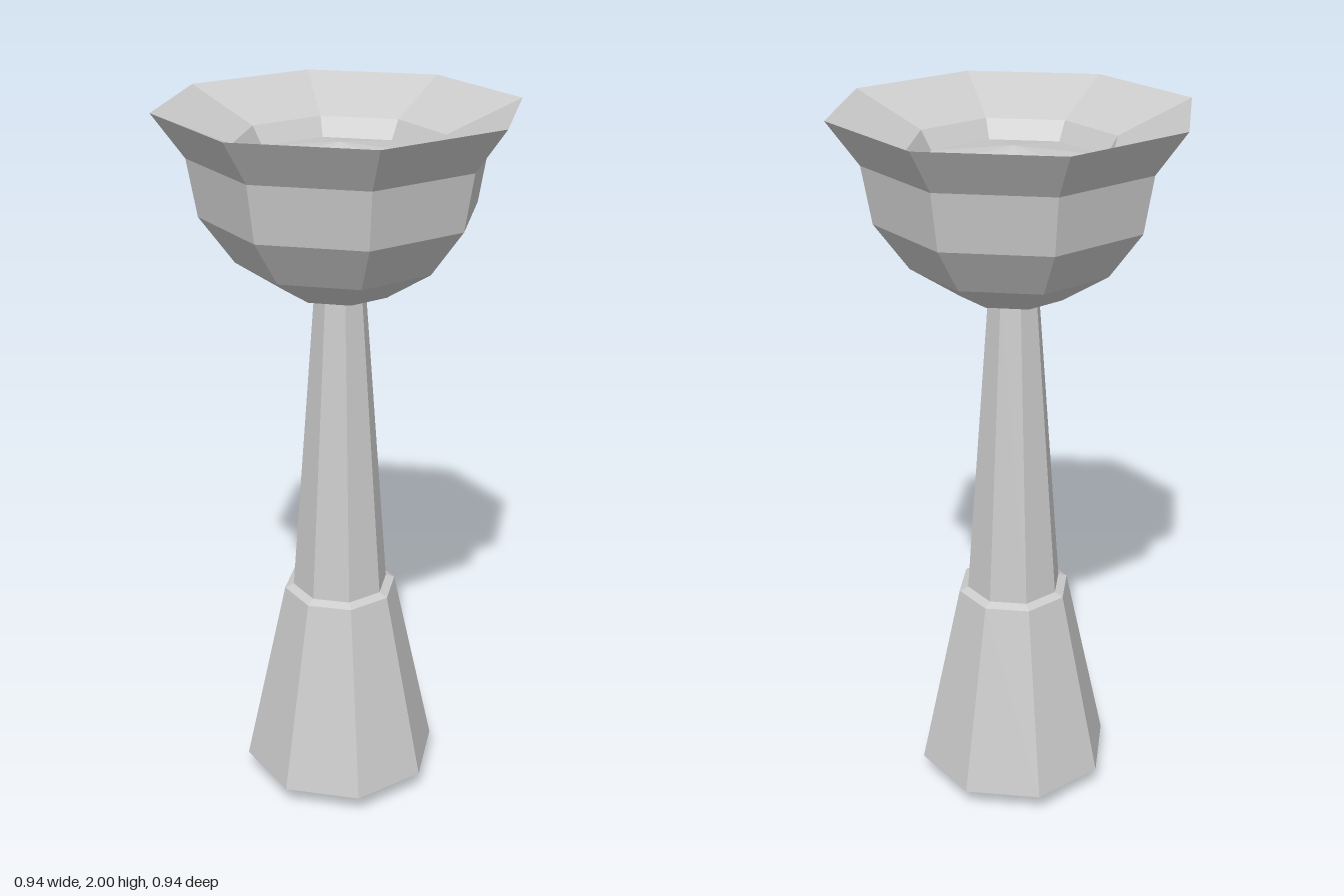
import * as THREE from 'three';

const SIDES = 8;

// Eight-sided turned part from [radius, height] pairs, running up the outside
function turned(name, profile) {
  const points = profile.map(([r, y]) => new THREE.Vector2(r, y));
  const material = new THREE.MeshStandardMaterial({ color: 0xcccccc, flatShading: true });
  const mesh = new THREE.Mesh(new THREE.LatheGeometry(points, SIDES), material);
  mesh.name = name;
  return mesh;
}

export function createModel() {
  const model = new THREE.Group();
  model.name = 'pedestalBowl';

  // Flared foot with chamfered underside and a narrow top ledge
  model.add(turned('base', [[0, 0], [0.1, 0.005], [0.28, 0.075], [0.16, 0.635], [0.135, 0.645]]));

  // Tapered stem
  model.add(turned('stem', [[0.135, 0.645], [0.07, 1.507]]));

  // Bowl: rounded outside, sloping rim, short inner wall, slightly raised floor
  model.add(turned('bowl', [
    [0.07, 1.507], [0.145, 1.525], [0.275, 1.61], [0.365, 1.735], [0.39, 1.885], [0.472, 2],
    [0.275, 1.915], [0.245, 1.865], [0, 1.91],
  ]));

  return model;
}
